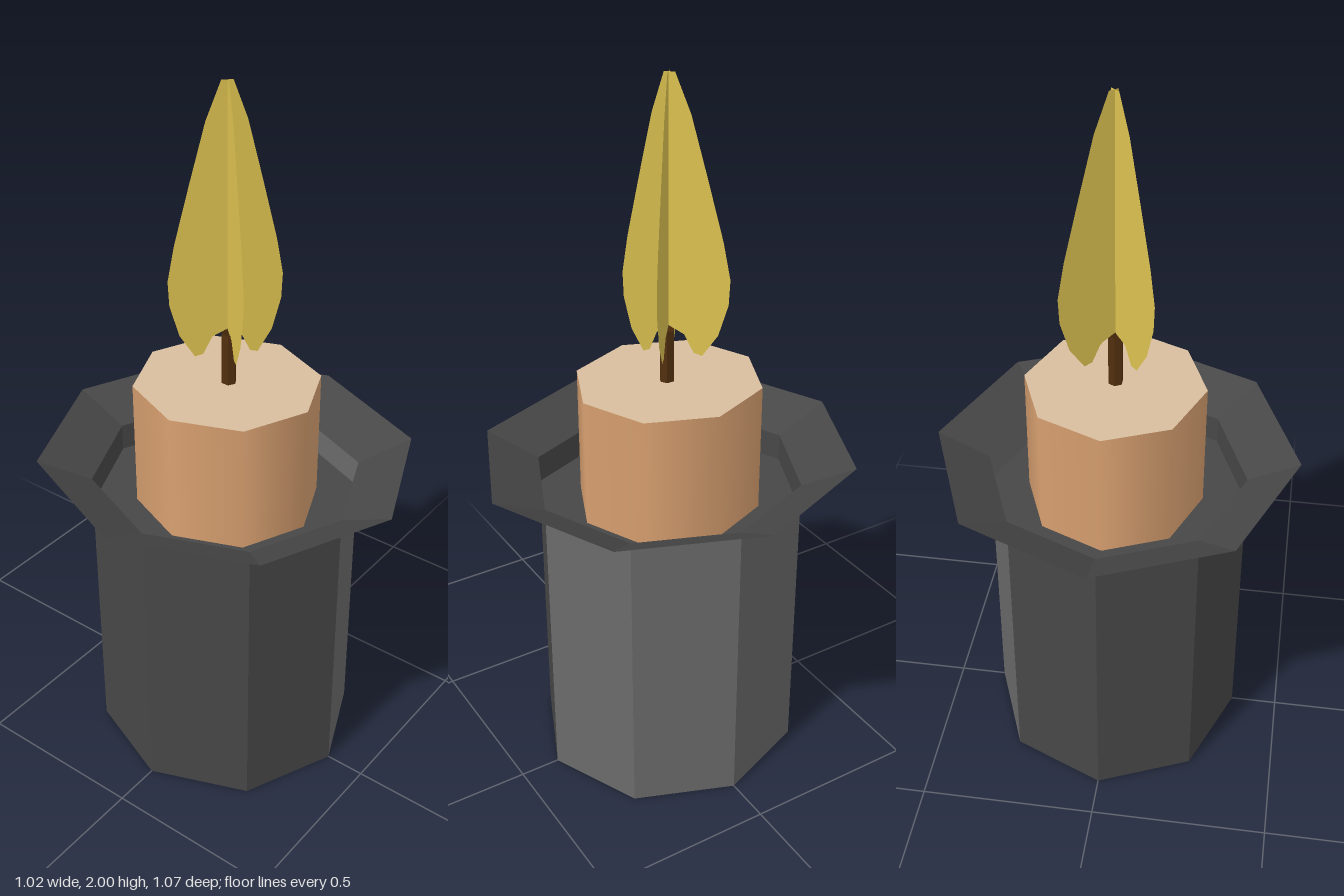
import * as THREE from 'three';

export function createModel() {
  const group = new THREE.Group();
  const mat = (name, color, opts = {}) =>
    Object.assign(new THREE.MeshStandardMaterial({ color, side: THREE.DoubleSide, ...opts }), { name });
  const darkMetal = mat('darkMetal', 0x474747, { flatShading: true });
  const lightMetal = mat('lightMetal', 0x6a6a6a, { flatShading: true });
  const waxSide = mat('waxSide', 0xd8a070);
  const waxTop = mat('waxTop', 0xd8be9e);
  const wickBrown = mat('wickBrown', 0x52300f, { flatShading: true });
  const flameYellow = mat('flameYellow', 0xdcc150, { flatShading: true });

  const add = (name, geometry, material) => {
    const mesh = new THREE.Mesh(geometry, material);
    mesh.name = name;
    group.add(mesh);
    return mesh;
  };

  // Open eight-sided wall between two heights, slightly deeper than wide
  const wall = (rBottom, rTop, y0, y1, first = 0, count = 8) =>
    new THREE.CylinderGeometry(rTop, rBottom, y1 - y0, count, 1, true,
      first * Math.PI / 4, count * Math.PI / 4)
      .scale(0.95, 1, 1).translate(0, (y0 + y1) / 2, 0);

  // Flat octagon facing up (or down)
  const octagon = (r, y, down = false) =>
    new THREE.CircleGeometry(r, 8).rotateX(down ? Math.PI / 2 : -Math.PI / 2)
      .scale(0.95, 1, 1).translate(0, y, 0);

  // Holder: three light panels, five dark ones, flared rim and recessed floor
  add('holderLightPanels', wall(0.385, 0.385, 0, 0.88, 0, 3), lightMetal);
  add('holderDarkPanels', wall(0.385, 0.385, 0, 0.88, 3, 5), darkMetal);
  add('holderRim', wall(0.385, 0.536, 0.88, 0.95), darkMetal);
  add('holderFloor', octagon(0.385, 0.8), darkMetal);
  add('holderBase', octagon(0.385, 0, true), darkMetal);

  // Candle
  add('candleSide', wall(0.262, 0.262, 0.8, 1.17), waxSide).position.x = 0.005;
  add('candleTop', octagon(0.262, 1.17), waxTop).position.x = 0.005;

  // Wick
  add('wick', new THREE.CylinderGeometry(0.021, 0.021, 0.15, 6, 1, true)
    .translate(0.005, 1.245, 0.005), wickBrown);

  // Flame: four upright leaves meeting on the centre line
  const profile = [[0, 2], [0.1, 2], [0.35, 1.9], [0.62, 1.74], [0.88, 1.58], [1, 1.48],
    [0.98, 1.41], [0.82, 1.32], [0.56, 1.255], [0.42, 1.26], [0.26, 1.31], [0, 1.33]];
  const leafTips = [[0.105, 0.1], [0.13, -0.105], [-0.115, -0.105], [-0.065, 0.1]];
  leafTips.forEach(([x, z], i) => {
    const width = Math.hypot(x, z);
    const shape = new THREE.Shape(profile.map(([u, y]) => new THREE.Vector2(u * width, y)));
    const leaf = add('flameLeaf' + (i + 1), new THREE.ShapeGeometry(shape), flameYellow);
    leaf.rotation.y = Math.atan2(-z, x);
    leaf.position.x = 0.005;
  });

  return group;
}
